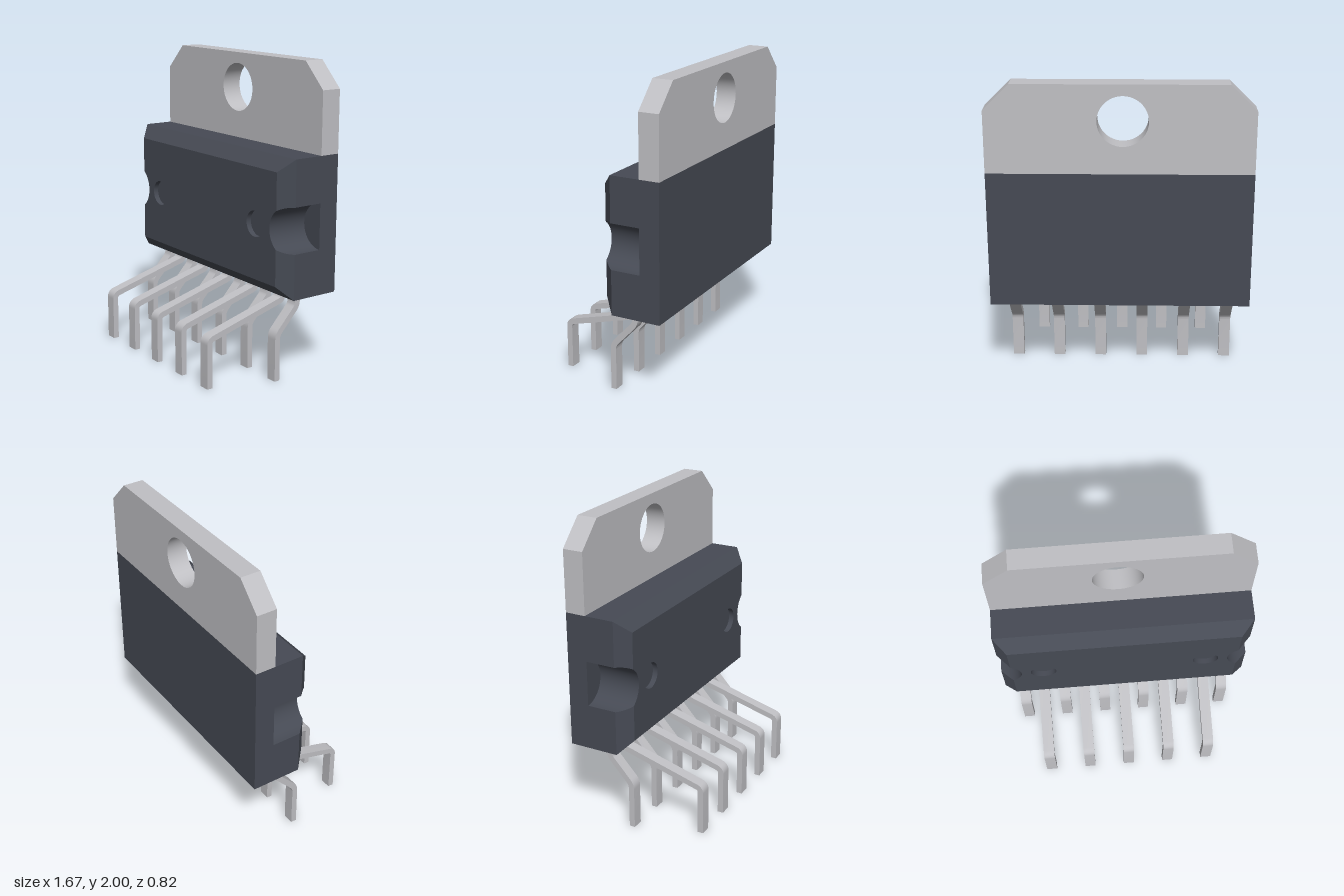
import * as THREE from 'three';
import { toCreasedNormals } from 'three/addons/utils/BufferGeometryUtils.js';

const W = 0.833, Y0 = 0.547, Y1 = 1.435;      // body outline
const BACK = -0.41, STEP = -0.275, FRONT = 0.005, CH = 0.083;
const MID = 0.99, NOTCH = 0.148, DIMPLE = 0.085;
const v2 = (x, y) => new THREE.Vector2(x, y);

// Points of an arc, both ends included
function arc(cx, cy, r, a0, a1, n) {
  return Array.from({ length: n + 1 }, (_, i) => {
    const a = a0 + (a1 - a0) * i / n;
    return v2(cx + r * Math.cos(a), cy + r * Math.sin(a));
  });
}

// Depth of the bevelled front at a point
const frontZ = (x, y) => Math.min(FRONT, FRONT - CH + Math.max(0, Math.min(W - Math.abs(x), y - Y0, Y1 - y)));

// Wall along a closed outline from a flat back to a front given by a rule
function wall(points, zBack, zFront) {
  const pos = [];
  points.forEach((a, i) => {
    const b = points[(i + 1) % points.length];
    const az = zFront(a.x, a.y), bz = zFront(b.x, b.y);
    pos.push(a.x, a.y, zBack, b.x, b.y, zBack, b.x, b.y, bz);
    pos.push(a.x, a.y, zBack, b.x, b.y, bz, a.x, a.y, az);
  });
  const g = new THREE.BufferGeometry();
  g.setAttribute('position', new THREE.Float32BufferAttribute(pos, 3));
  return toCreasedNormals(g, 0.5);
}

// Flat face whose corners follow the bevelled front
function face(points, holes = []) {
  const s = new THREE.Shape(points);
  holes.forEach(h => s.holes.push(new THREE.Path(h)));
  const g = new THREE.ShapeGeometry(s).toNonIndexed();
  const p = g.attributes.position;
  for (let i = 0; i < p.count; i++) p.setZ(i, frontZ(p.getX(i), p.getY(i)));
  g.computeVertexNormals();
  return g;
}

// Bent lead: a centre line in (z, y) with rounded bends, thickened and extruded
function leadGeometry(corners, width, thick) {
  const path = [corners[0]];
  for (let i = 1; i < corners.length - 1; i++) {
    const c = corners[i], r = 0.03;
    const a = c.clone().add(corners[i - 1].clone().sub(c).setLength(r));
    const b = c.clone().add(corners[i + 1].clone().sub(c).setLength(r));
    path.push(...new THREE.QuadraticBezierCurve(a, c, b).getPoints(6));
  }
  path.push(corners[corners.length - 1]);
  const left = [], right = [];
  path.forEach((p, i) => {
    const d = path[Math.min(i + 1, path.length - 1)].clone().sub(path[Math.max(i - 1, 0)]).normalize();
    if (i <= 1 || i >= path.length - 2) d.set(0, -1);
    const n = v2(-d.y, d.x).multiplyScalar(thick / 2);
    left.push(p.clone().add(n));
    right.push(p.clone().sub(n));
  });
  const g = new THREE.ExtrudeGeometry(new THREE.Shape([...left, ...right.reverse()]), { depth: width, bevelEnabled: false });
  g.translate(0, 0, -width / 2).rotateY(-Math.PI / 2);
  return toCreasedNormals(g, 0.5);
}

export function createModel() {
  const model = new THREE.Group();
  const plastic = new THREE.MeshStandardMaterial({ color: 0x464a54 });
  plastic.name = 'dark plastic';
  const metal = new THREE.MeshStandardMaterial({ color: 0xc0c0c4 });
  metal.name = 'light metal';
  const add = (parent, name, geometry, material) => {
    const m = new THREE.Mesh(geometry, material);
    m.name = name;
    parent.add(m);
    return m;
  };

  // Plastic body
  const body = new THREE.Group();
  body.name = 'body';
  model.add(body);
  add(body, 'bodyBack', new THREE.BoxGeometry(2 * W, Y1 - Y0, STEP - BACK), plastic)
    .position.set(0, (Y0 + Y1) / 2, (STEP + BACK) / 2);

  // Side notches: arc pieces on the bevel and on the front face
  const PI = Math.PI, bend = Math.acos(CH / NOTCH);
  const flip = pts => pts.map(p => v2(-p.x, p.y)).reverse();
  const lower = arc(W, MID, NOTCH, 1.5 * PI, PI + bend, 5);
  const inner = arc(W, MID, NOTCH, PI + bend, PI - bend, 14);
  const upper = arc(W, MID, NOTCH, PI - bend, PI / 2, 5);
  const rightNotch = [...lower, ...inner.slice(1, -1), ...upper];
  const outline = [v2(-W, Y0), v2(W, Y0), ...rightNotch, v2(W, Y1), v2(-W, Y1), ...flip(rightNotch)];
  add(body, 'bodySides', wall(outline, STEP, frontZ), plastic);

  // Front face with two round dimples
  const X = W - CH, B = Y0 + CH, T = Y1 - CH;
  const dimples = [-0.54, 0.54].map(x => arc(x, MID, DIMPLE, 2 * PI, 0, 40).slice(0, -1));
  add(body, 'bodyFront', face([v2(-X, B), v2(X, B), ...inner, v2(X, T), v2(-X, T), ...flip(inner)], dimples), plastic);
  dimples.forEach((d, i) => {
    add(body, 'dimpleWall', wall(d, FRONT - 0.035, () => FRONT), plastic);
    add(body, 'dimpleFloor', new THREE.CircleGeometry(DIMPLE, 40), plastic)
      .position.set(i ? 0.54 : -0.54, MID, FRONT - 0.035);
  });

  // Bevels around the front
  add(body, 'topBevel', face([v2(-X, T), v2(X, T), v2(W, Y1), v2(-W, Y1)]), plastic);
  add(body, 'bottomBevel', face([v2(-W, Y0), v2(W, Y0), v2(X, B), v2(-X, B)]), plastic);
  const sideLow = [v2(X, B), v2(W, Y0), ...lower];
  const sideHigh = [...upper, v2(W, Y1), v2(X, T)];
  for (const s of [sideLow, sideHigh]) {
    add(body, 'leftBevel', face(s), plastic);
    add(body, 'rightBevel', face(flip(s)), plastic);
  }

  // Metal mounting tab with a round hole
  const tab = new THREE.Shape([v2(-W, Y1), v2(W, Y1), v2(W, 1.835), v2(0.667, 2), v2(-0.667, 2), v2(-W, 1.835)]);
  tab.holes.push(new THREE.Path(arc(-0.018, 1.77, 0.159, 2 * PI, 0, 48).slice(0, -1)));
  const tabGeo = new THREE.ExtrudeGeometry(tab, { depth: STEP - BACK, bevelEnabled: false });
  tabGeo.translate(0, 0, BACK);
  add(model, 'mountingTab', toCreasedNormals(tabGeo, 0.5), metal);

  // Eleven leads, alternately short and long
  const shortLead = leadGeometry([v2(-0.186, 0.56), v2(-0.186, 0.474), v2(-0.029, 0.305), v2(-0.029, 0)], 0.074, 0.038);
  const longLead = leadGeometry([v2(-0.186, 0.56), v2(-0.186, 0.478), v2(0.391, 0.317), v2(0.391, 0)], 0.074, 0.038);
  for (let i = 0; i < 11; i++) {
    const long = i % 2 === 1;
    add(model, long ? 'longLead' : 'shortLead', long ? longLead : shortLead, metal)
      .position.x = -0.003 + (i - 5) * 0.1413;
  }
  return model;
}
